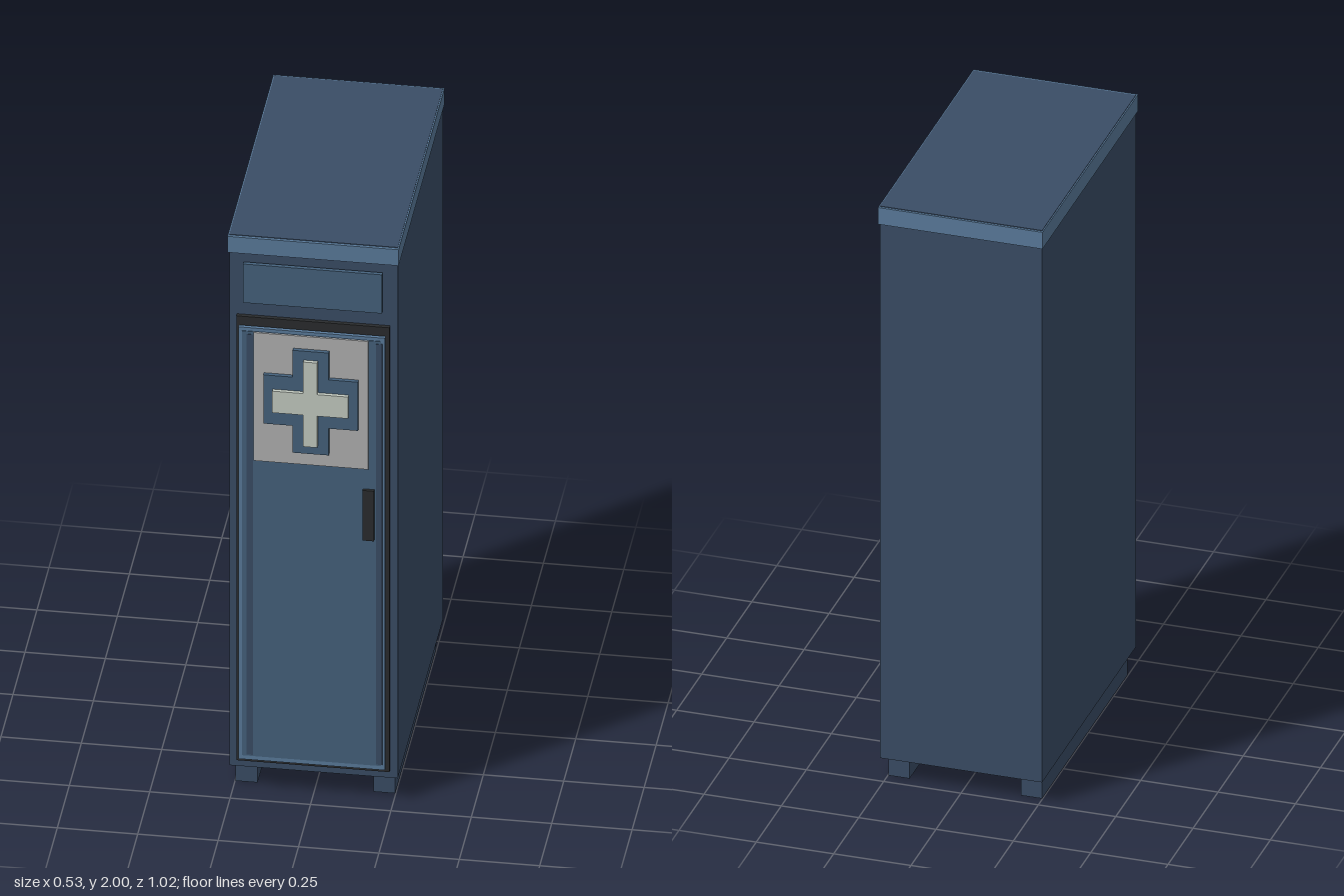
import * as THREE from 'three';

const mat = (color) => new THREE.MeshStandardMaterial({ color, flatShading: true });

export function createModel() {
  const locker = new THREE.Group();
  locker.name = 'locker';

  const navy = mat(0x3a4d66), trim = mat(0x5a7b9c), blue = mat(0x45627d);
  const black = mat(0x2a2c2e), grey = mat(0xb2b2b2), pale = mat(0xc4ccc2);

  const add = (name, geometry, material) => {
    const mesh = new THREE.Mesh(geometry, material);
    mesh.name = name;
    locker.add(mesh);
    return mesh;
  };
  // Box given by its lower and upper limits on each axis
  const box = (name, material, x0, x1, y0, y1, z0, z1) => {
    const mesh = add(name, new THREE.BoxGeometry(x1 - x0, y1 - y0, z1 - z0), material);
    mesh.position.set((x0 + x1) / 2, (y0 + y1) / 2, (z0 + z1) / 2);
    return mesh;
  };

  // Cabinet, cap and the two runners it stands on
  box('cabinet', navy, -0.262, 0.262, 0.08, 2, -0.5, 0.437);
  box('topCap', trim, -0.266, 0.266, 1.94, 1.998, -0.508, 0.447);
  for (const side of [-1, 1]) {
    const x = side * 0.214;
    box('runner', navy, x - 0.034, x + 0.034, 0, 0.08, -0.457, 0.397);
  }

  // Plate above the door
  box('namePlate', blue, -0.216, 0.216, 1.77, 1.91, 0.446, 0.459);

  // Door: dark surround, backing, bright rim and face
  box('doorSurround', black, -0.238, 0.238, 0.108, 1.715, 0.435, 0.45);
  box('doorBacking', blue, -0.21, 0.21, 0.15, 1.67, 0.45, 0.464);
  box('doorRim', trim, -0.228, 0.228, 0.13, 1.692, 0.464, 0.476);
  box('doorFace', blue, -0.216, 0.216, 0.145, 1.68, 0.47, 0.478);
  box('doorStrip', navy, -0.202, -0.182, 0.15, 1.67, 0.47, 0.4795);
  box('doorStrip', navy, 0.2, 0.22, 0.15, 1.67, 0.47, 0.4795);
  box('handle', black, 0.16, 0.195, 0.962, 1.143, 0.476, 0.488);

  // Louvres with a sloping top edge, profile extruded across the door
  const profile = new THREE.Shape([
    new THREE.Vector2(0, 0), new THREE.Vector2(0.012, 0),
    new THREE.Vector2(0.012, 0.048), new THREE.Vector2(0, 0.058),
  ]);
  for (const y of [0.228, 0.345, 0.462]) {
    const louvre = add('louvre', new THREE.ExtrudeGeometry(profile, { depth: 0.284, bevelEnabled: false }), navy);
    louvre.rotation.y = -Math.PI / 2;
    louvre.position.set(0.142, y, 0.474);
    // Turn the profile so that its depth points forward
    louvre.geometry.rotateY(Math.PI).translate(0, 0, 0.284);
  }

  // Panel with a two-layer cross
  box('signPanel', grey, -0.18, 0.177, 1.217, 1.68, 0.474, 0.483);
  const cross = (name, material, w, h, armX, armY, z0, z1) => {
    const corners = [
      [armX, h], [-armX, h], [-armX, armY], [-w, armY], [-w, -armY], [-armX, -armY],
      [-armX, -h], [armX, -h], [armX, -armY], [w, -armY], [w, armY], [armX, armY],
    ];
    const shape = new THREE.Shape(corners.map(([x, y]) => new THREE.Vector2(x, y)));
    const mesh = add(name, new THREE.ExtrudeGeometry(shape, { depth: z1 - z0, bevelEnabled: false }), material);
    mesh.position.set(0, 1.45, z0);
  };
  cross('crossBorder', blue, 0.147, 0.185, 0.056, 0.088, 0.482, 0.496);
  cross('crossCentre', pale, 0.118, 0.153, 0.022, 0.039, 0.496, 0.508);

  return locker;
}
